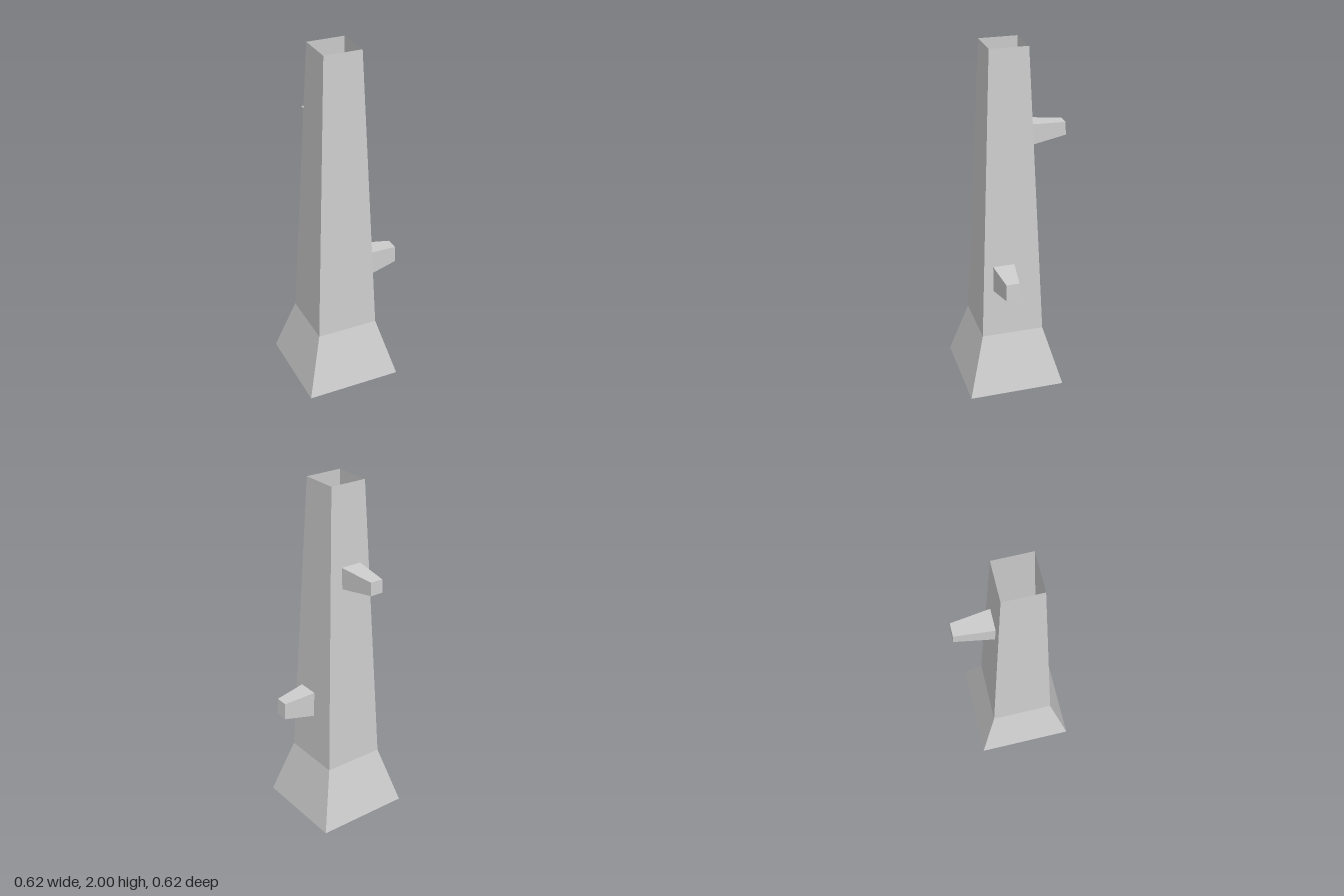
import * as THREE from 'three';

// Flat-shaded skin over a series of four-cornered rings (counter-clockwise seen from the end)
function loft(rings, capStart, capEnd) {
  const pos = [];
  const quad = (a, b, c, d) => pos.push(...a, ...b, ...c, ...a, ...c, ...d);
  for (let r = 0; r < rings.length - 1; r++) {
    for (let i = 0; i < 4; i++) {
      const j = (i + 1) % 4;
      quad(rings[r][i], rings[r][j], rings[r + 1][j], rings[r + 1][i]);
    }
  }
  if (capStart) quad(...[...rings[0]].reverse());
  if (capEnd) quad(...rings[rings.length - 1]);
  const geo = new THREE.BufferGeometry();
  geo.setAttribute('position', new THREE.Float32BufferAttribute(pos, 3));
  geo.computeVertexNormals();
  return geo;
}

const CX = -0.037, CZ = 0.034;

// Level square ring of the trunk
const square = (y, h) => [[1, 1], [1, -1], [-1, -1], [-1, 1]]
  .map(([sx, sz]) => [CX + sx * h, y, CZ + sz * h]);

// Upright stub ring: out = reach at bottom and top, y = heights, side = centre and half width
const stubRing = (toPoint, [outLow, outHigh], [low, high], [mid, half]) => [
  toPoint(outLow, low, mid + half), toPoint(outLow, low, mid - half),
  toPoint(outHigh, high, mid - half), toPoint(outHigh, high, mid + half),
];

export function createModel() {
  const group = new THREE.Group();
  const bark = new THREE.MeshStandardMaterial({ color: 0xcccccc, side: THREE.DoubleSide });
  bark.name = 'paleGrey';

  const add = (name, geo) => {
    const mesh = new THREE.Mesh(geo, bark);
    mesh.name = name;
    group.add(mesh);
  };

  // Hollow trunk with flared foot, closed below and open on top
  add('trunk', loft([square(0, 0.276), square(0.345, 0.178), square(2, 0.107)], true, false));

  // Tapered branch stub on the left side
  const toLeft = (out, y, side) => [out, y, side];
  add('leftBranch', loft([
    stubRing(toLeft, [0.128, 0.122], [0.627, 0.777], [0.081, 0.061]),
    stubRing(toLeft, [0.311, 0.306], [0.66, 0.757], [0.081, 0.037]),
  ], false, true));

  // Tapered branch stub on the back
  const toBack = (out, y, side) => [side, y, -out];
  add('backBranch', loft([
    stubRing(toBack, [0.097, 0.092], [1.433, 1.554], [-0.044, 0.061]),
    stubRing(toBack, [0.311, 0.307], [1.465, 1.539], [-0.044, 0.037]),
  ], false, true));

  return group;
}
